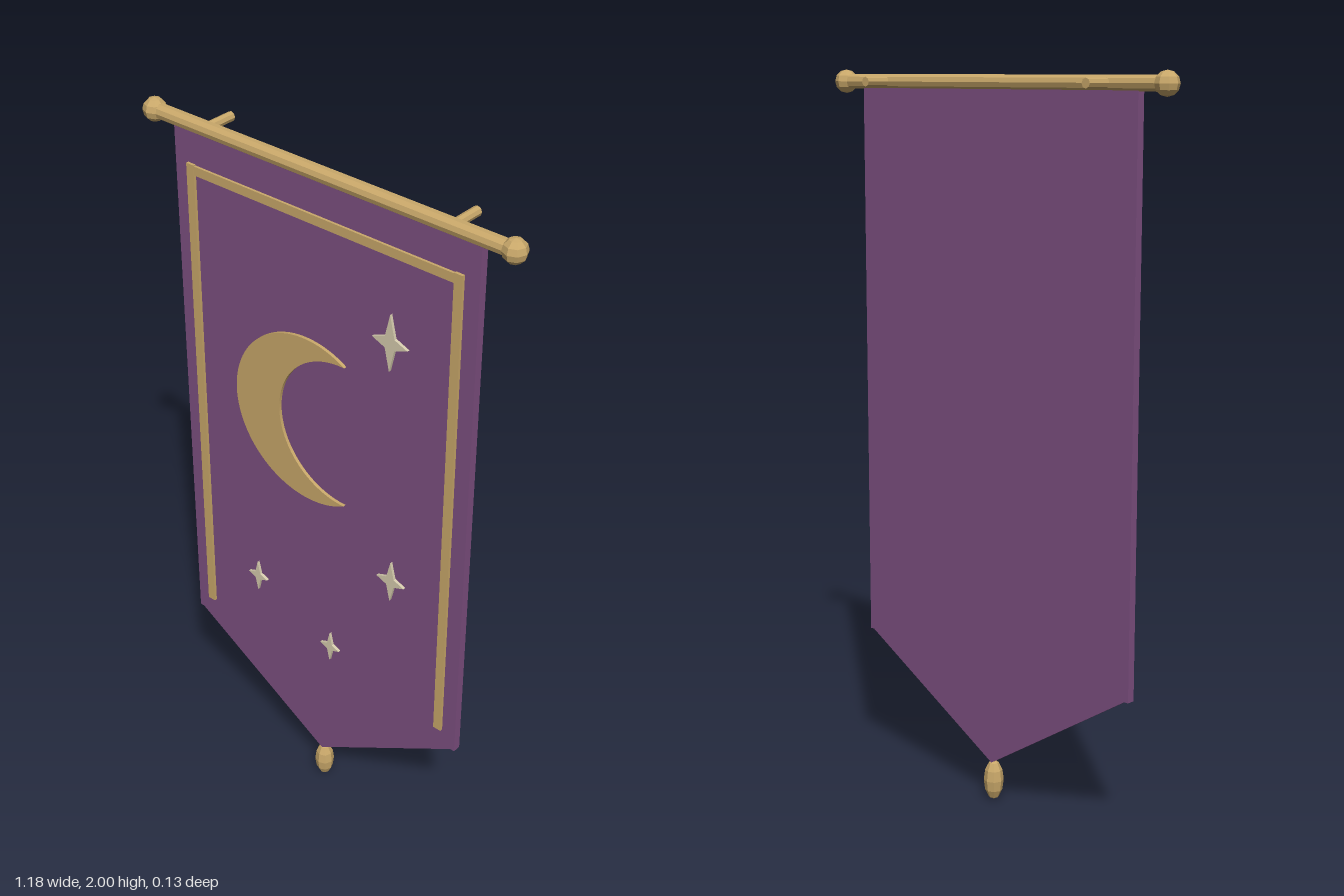
import * as THREE from 'three';

const mat = (name, color, flatShading = false) => {
  const m = new THREE.MeshStandardMaterial({ color });
  m.name = name;
  m.flatShading = flatShading;
  return m;
};

export function createModel() {
  const group = new THREE.Group();
  const gold = mat('gold', 0xc9a86a, true);
  const purple = mat('purple cloth', 0x7d4f80);
  const pale = mat('pale star', 0xd6ccae);
  const poleY = 1.968, poleZ = 0.031, clothBack = 0.021, clothFront = 0.044;

  const add = (name, geometry, material, x = 0, y = 0, z = 0) => {
    const mesh = new THREE.Mesh(geometry, material);
    mesh.name = name;
    mesh.position.set(x, y, z);
    group.add(mesh);
    return mesh;
  };
  const plate = (shape, depth) =>
    new THREE.ExtrudeGeometry(shape, { depth, bevelEnabled: false, curveSegments: 32 });
  const polygon = (points) => new THREE.Shape(points.map(([x, y]) => new THREE.Vector2(x, y)));

  // Pole with end balls and wall pegs
  add('pole', new THREE.CylinderGeometry(0.021, 0.021, 1.11, 10).rotateZ(Math.PI / 2), gold, 0, poleY, poleZ);
  for (const side of [-1, 1]) {
    add('poleBall', new THREE.SphereGeometry(0.032, 8, 6), gold, side * 0.557, poleY, poleZ);
    add('wallPeg', new THREE.CylinderGeometry(0.013, 0.013, 0.094, 8).rotateX(Math.PI / 2),
      gold, side * 0.383, poleY, poleZ - 0.047);
  }

  // Cloth with a pointed lower edge
  const cloth = polygon([[-0.478, 1.965], [-0.478, 0.4], [-0.465, 0.4], [0, 0.11],
    [0.465, 0.4], [0.478, 0.4], [0.478, 1.965]]);
  add('cloth', plate(cloth, clothFront - clothBack), purple, 0, 0, clothBack);

  // Border strips
  for (const side of [-1, 1]) {
    add('sideBorder', new THREE.BoxGeometry(0.025, 1.412, 0.008), gold, side * 0.422, 1.161, clothFront + 0.004);
  }
  add('topBorder', new THREE.BoxGeometry(0.82, 0.025, 0.007), gold, 0, 1.852, clothFront + 0.0035);

  // Crescent moon: outer arc round the left, inner arc back
  const tip = new THREE.Vector2(0.125, 0.214);
  const innerX = 0.118, innerR = Math.hypot(tip.x - innerX, tip.y);
  const outer = Math.atan2(tip.y, tip.x), inner = Math.atan2(tip.y, tip.x - innerX);
  const moon = new THREE.Shape();
  moon.absarc(0, 0, tip.length(), outer, Math.PI * 2 - outer, false);
  moon.absarc(innerX, 0, innerR, Math.PI * 2 - inner, inner, true);
  add('moon', plate(moon, 0.009), gold, -0.038, 1.262, clothFront);

  // Four-pointed stars
  const stars = [[0.228, 1.605, 0.055, 0.08], [0.247, 0.877, 0.046, 0.064],
    [-0.231, 0.645, 0.035, 0.05], [0.037, 0.53, 0.034, 0.049]];
  for (const [x, y, w, h] of stars) {
    const a = w * 0.27, b = h * 0.2;
    const star = polygon([[w, 0], [a, b], [0, h], [-a, b], [-w, 0], [-a, -b], [0, -h], [a, -b]]);
    add('star', plate(star, 0.008), pale, x, y, clothFront);
  }

  // Tassel bead at the point
  add('tassel', new THREE.SphereGeometry(0.028, 8, 6).scale(1, 2.07, 1), gold, 0, 0.058, poleZ);

  return group;
}
